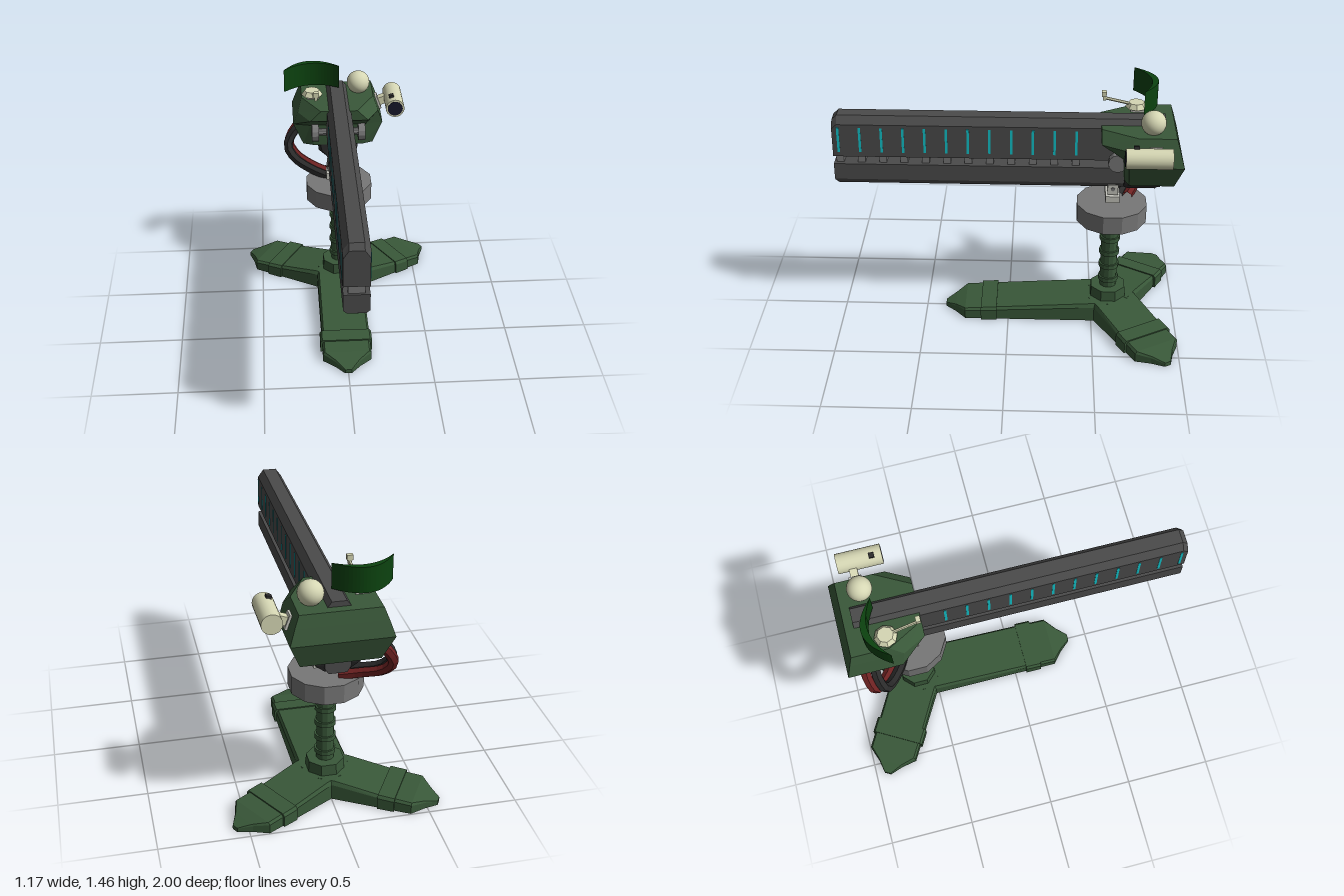
import * as THREE from 'three';

const mat = (color, flatShading = true) =>
  new THREE.MeshStandardMaterial({ color, flatShading, side: THREE.DoubleSide });
const green = mat(0x395839), darkGreen = mat(0x0c420f, false), steel = mat(0x4b4b4b), grey = mat(0x777777);
const black = mat(0x2b2b2b), pale = mat(0xd6d7b4), paleSmooth = mat(0xd6d7b4, false), white = mat(0xc4c4bc);
const cyan = mat(0x12c4cc), red = mat(0x6e2222), lens = mat(0x17172a);

// Joins equal-length rings of [x, y, z] corners and caps both ends
function loft(rings) {
  const n = rings[0].length, out = [];
  const tri = (a, b, c) => out.push(...a, ...b, ...c);
  for (let r = 0; r < rings.length - 1; r++) {
    for (let i = 0; i < n; i++) {
      const j = (i + 1) % n, a = rings[r], b = rings[r + 1];
      tri(a[i], a[j], b[j]);
      tri(a[i], b[j], b[i]);
    }
  }
  const first = rings[0], last = rings[rings.length - 1];
  for (let i = 1; i < n - 1; i++) {
    tri(first[0], first[i + 1], first[i]);
    tri(last[0], last[i], last[i + 1]);
  }
  const g = new THREE.BufferGeometry();
  g.setAttribute('position', new THREE.Float32BufferAttribute(out, 3));
  g.computeVertexNormals();
  return g;
}

function add(parent, name, geometry, material, x = 0, y = 0, z = 0) {
  const m = new THREE.Mesh(geometry, material);
  m.name = name;
  m.position.set(x, y, z);
  parent.add(m);
  return m;
}
const box = (w, h, d) => new THREE.BoxGeometry(w, h, d);
const cyl = (rt, rb, h, n = 16) => new THREE.CylinderGeometry(rt, rb, h, n);

// Leg cross-section: flat bottom, small bevels on the top edges
const legRing = (d, w, h) => [[-w, 0, d], [w, 0, d], [w, h * 0.8, d], [w * 0.92, h, d], [-w * 0.92, h, d], [-w, h * 0.8, d]];

function makeLeg(extra) {
  const leg = new THREE.Group();
  leg.name = 'leg';
  const e = extra;
  add(leg, 'legBeam', loft([
    legRing(0, 0.145, 0.115), legRing(0.1, 0.145, 0.115), legRing(0.36 + e, 0.145, 0.078),
    legRing(0.54 + e, 0.145, 0.066), legRing(0.6 + e, 0.075, 0.048), legRing(0.663 + e, 0.02, 0.026),
  ]), green);
  add(leg, 'legBand', loft([legRing(0.35 + e, 0.157, 0.086), legRing(0.445 + e, 0.157, 0.08)]), green);
  return leg;
}

function makeStand() {
  const stand = new THREE.Group();
  stand.name = 'stand';
  stand.position.z = -0.6;
  [[0, 0.32], [1, 0], [-1, 0]].forEach(([turn, extra]) => {
    const leg = makeLeg(extra);
    leg.rotation.y = turn * Math.PI * 2 / 3;
    stand.add(leg);
  });
  add(stand, 'poleCollar', cyl(0.108, 0.112, 0.07, 8), green, 0, 0.145).rotation.y = Math.PI / 8;
  add(stand, 'pole', cyl(0.05, 0.05, 0.52, 12), green, 0, 0.4);
  for (let i = 0; i < 5; i++) add(stand, 'poleRing', cyl(0.06, 0.06, 0.028, 12), green, 0, 0.23 + i * 0.093);
  add(stand, 'turntable', cyl(0.208, 0.208, 0.11, 12), grey, 0, 0.702).rotation.y = Math.PI / 12;
  // Swivel joint between turntable and gun
  add(stand, 'swivelPin', cyl(0.025, 0.025, 0.14, 8), black, 0, 0.81);
  add(stand, 'swivelPlate', box(0.155, 0.042, 0.08), white, 0, 0.805);
  add(stand, 'yokeBase', box(0.14, 0.014, 0.06), white, 0, 0.848);
  for (const s of [-1, 1]) add(stand, 'yokeArm', box(0.014, 0.06, 0.06), white, s * 0.064, 0.866);
  add(stand, 'yokePin', cyl(0.012, 0.012, 0.15, 8), grey, 0, 0.872).rotation.z = Math.PI / 2;
  return stand;
}

function makeBarrel() {
  const barrel = new THREE.Group();
  barrel.name = 'barrel';
  const upper = (z, top, w) => [[-w, 1.06, z], [w, 1.06, z], [w, top - 0.045, z], [0.04, top, z], [-0.04, top, z], [-w, top - 0.045, z]];
  add(barrel, 'upperRail', loft([upper(-0.88, 1.305, 0.073), upper(0.97, 1.305, 0.073), upper(1, 1.275, 0.07)]), steel);
  const lower = (z, bottom) => [[-0.05, bottom, z], [0.05, bottom, z], [0.07, 0.912, z], [0.07, 1.01, z], [-0.07, 1.01, z], [-0.07, 0.912, z]];
  add(barrel, 'lowerRail', loft([lower(-0.87, 0.88), lower(0.98, 0.88), lower(1, 0.895)]), steel);
  // Evenly spaced links with a glowing slit above each
  for (let i = 0; i < 12; i++) {
    const z = 0.965 - i * 0.1225;
    add(barrel, 'railLink', box(0.09, 0.07, 0.043), grey, 0, 1.035, z);
    add(barrel, 'lightSlit', box(0.15, 0.152, 0.014), cyan, 0, 1.165, z);
  }
  add(barrel, 'rearLink', box(0.1, 0.07, 0.3), steel, 0, 1.035, -0.72);
  return barrel;
}

function makeHousing() {
  const housing = new THREE.Group();
  housing.name = 'housing';
  const plan = (y, wf, front, w, side, back) =>
    [[wf, y, front], [w, y, side], [w, y, back], [-w, y, back], [-w, y, side], [-wf, y, front]];
  add(housing, 'armourShell', loft([
    plan(0.978, 0.15, -0.655, 0.215, -0.68, -0.93),
    plan(1.12, 0.17, -0.645, 0.275, -0.67, -0.975),
    plan(1.21, 0.175, -0.52, 0.245, -0.65, -0.95),
    plan(1.275, 0.11, -0.52, 0.22, -0.72, -0.93),
  ]), green);
  // Cradle under the shell
  add(housing, 'cradle', loft([
    plan(0.88, 0.05, -0.66, 0.065, -0.68, -0.84),
    plan(0.93, 0.1, -0.66, 0.12, -0.68, -0.86),
    plan(0.985, 0.11, -0.66, 0.125, -0.68, -0.87),
  ]), black);
  // Trunnion across the barrel
  add(housing, 'trunnionRod', cyl(0.022, 0.022, 0.3, 8), grey, 0, 1.09, -0.61).rotation.z = Math.PI / 2;
  for (const s of [-1, 1])
    add(housing, 'trunnionDisc', cyl(0.054, 0.054, 0.042, 12), grey, s * 0.142, 1.085, -0.615).rotation.z = Math.PI / 2;
  return housing;
}

function makeSensors() {
  const sensors = new THREE.Group();
  sensors.name = 'sensors';
  add(sensors, 'dome', new THREE.SphereGeometry(0.07, 24, 16), paleSmooth, 0.133, 1.33, -0.803);

  // Side scope
  const scope = new THREE.Group();
  scope.name = 'scope';
  scope.position.set(0.35, 1.22, -0.77);
  sensors.add(scope);
  add(scope, 'scopeTube', cyl(0.057, 0.057, 0.255, 20), paleSmooth).rotation.x = Math.PI / 2;
  add(scope, 'scopeLens', cyl(0.046, 0.046, 0.006, 20), lens, 0, 0, 0.127).rotation.x = Math.PI / 2;
  add(scope, 'scopeKnob', box(0.03, 0.02, 0.03), black, -0.02, 0.057, 0.07).rotation.z = 0.25;
  add(scope, 'scopeBracket', box(0.075, 0.05, 0.045), pale, -0.075, -0.02, -0.045).rotation.z = 0.35;
  add(scope, 'bracketFoot', box(0.025, 0.085, 0.07), white, -0.098, -0.028, -0.045).rotation.z = 0.35;

  // Curved dish: a crescent in plan, raised upwards
  const crescent = new THREE.Shape();
  crescent.moveTo(-0.17, 0);
  crescent.quadraticCurveTo(0, 0.215, 0.17, 0);
  crescent.quadraticCurveTo(0, 0.14, -0.17, 0);
  const dishGeo = new THREE.ExtrudeGeometry(crescent, { depth: 0.145, bevelEnabled: false, curveSegments: 20 });
  dishGeo.rotateX(-Math.PI / 2);
  add(sensors, 'dish', dishGeo, darkGreen, -0.155, 1.316, -0.735).rotation.y = 0.12;
  add(sensors, 'dishFoot', box(0.075, 0.03, 0.08), white, -0.15, 1.285, -0.73);
  add(sensors, 'dishMount', cyl(0.045, 0.065, 0.028, 8), pale, -0.155, 1.307, -0.725);
  const arm = new THREE.LineCurve3(new THREE.Vector3(-0.15, 1.31, -0.7), new THREE.Vector3(-0.138, 1.352, -0.54));
  add(sensors, 'feedArm', new THREE.TubeGeometry(arm, 1, 0.009, 6), pale);
  add(sensors, 'feedStem', box(0.018, 0.045, 0.016), pale, -0.138, 1.362, -0.54);
  add(sensors, 'feedHorn', box(0.034, 0.03, 0.026), pale, -0.138, 1.378, -0.538);
  return sensors;
}

// Power cable looping from the turntable up into the shell
function makeCable(name, material, dx, dz) {
  const path = new THREE.CatmullRomCurve3([
    [-0.06, 0.76, -0.66], [-0.17, 0.79, -0.71], [-0.27, 0.835, -0.78],
    [-0.31, 0.9, -0.82], [-0.275, 0.98, -0.845], [-0.2, 1.06, -0.85],
  ].map(([x, y, z]) => new THREE.Vector3(x + dx, y, z + dz)));
  const m = new THREE.Mesh(new THREE.TubeGeometry(path, 12, 0.03, 6), material);
  m.name = name;
  return m;
}

export function createModel() {
  const model = new THREE.Group();
  model.name = 'railGunTurret';
  model.add(makeStand(), makeBarrel(), makeHousing(), makeSensors());
  model.add(makeCable('darkCable', black, 0, 0.02), makeCable('redCable', red, 0.008, -0.035));
  return model;
}
